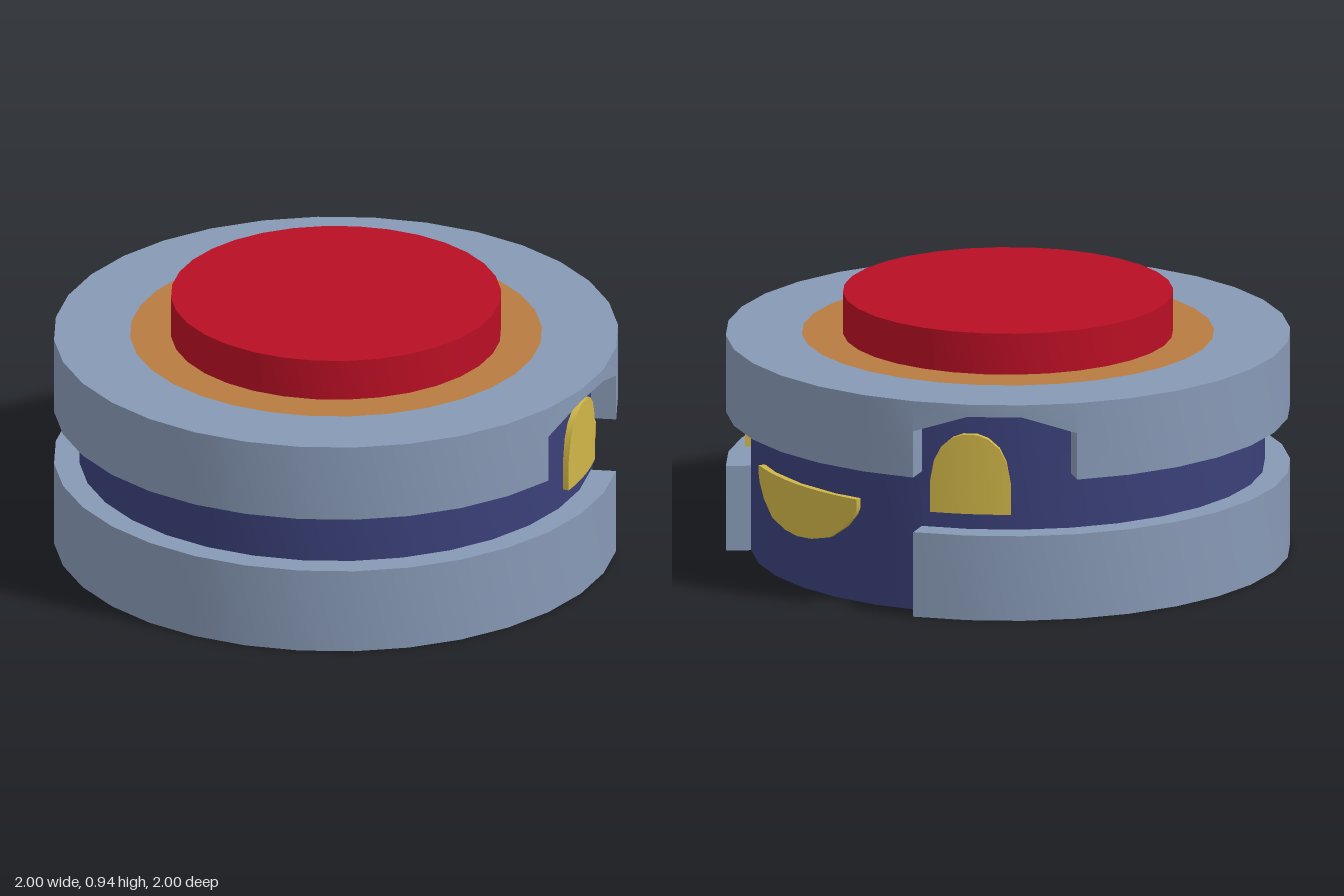
import * as THREE from 'three';
import { toCreasedNormals } from 'three/addons/utils/BufferGeometryUtils.js';

const STEP = Math.PI / 16; // 32-sided body
const R = 1, RI = 0.91;    // outer shell and recessed core radii
const FLOOR = 0.31, EAVE = 0.51, TOP = 0.79, CAP = 0.94;

function mat(name, color) {
  const m = new THREE.MeshStandardMaterial({ color, side: THREE.DoubleSide });
  m.name = name;
  return m;
}

// Point at radius r, angle in steps from +x towards +z, height y
const P = (r, i, y) => [r * Math.cos(i * STEP), y, r * Math.sin(i * STEP)];

const quad = (out, a, b, c, d) => out.push(...a, ...b, ...c, ...a, ...c, ...d);

// Band of quads between two profiles, each giving [radius, height] at a step
function strip(out, from, to, A, B) {
  for (let i = from; i < to; i++) {
    quad(out, P(A(i)[0], i, A(i)[1]), P(B(i)[0], i, B(i)[1]),
      P(B(i + 1)[0], i + 1, B(i + 1)[1]), P(A(i + 1)[0], i + 1, A(i + 1)[1]));
  }
}
const at = (r, y) => () => [r, y];

// Radial end face between core and shell
const endFace = (out, i, y0, y1) =>
  quad(out, P(RI, i, y0), P(R, i, y0), P(R, i, y1), P(RI, i, y1));

// Arched upper edge of the eye sockets, steps 3 to 6 on both sides
const lip = (i) => (Math.abs(i) === 3 || Math.abs(i) === 6 ? 0.68 : 0.745);
const onLip = (r) => (i) => [r, lip(i)];
const SOCKETS = [[3, 6], [-6, -3]];

function mesh(name, positions, material) {
  const g = new THREE.BufferGeometry();
  g.setAttribute('position', new THREE.Float32BufferAttribute(positions, 3));
  const m = new THREE.Mesh(toCreasedNormals(g, 0.4), material);
  m.name = name;
  return m;
}

// Curved plate hugging the core; columns are [offset along arc, bottom, top]
function plate(name, centre, columns, material) {
  const out = [], r0 = 0.905, r1 = 0.93;
  const cols = columns.map(([s, y0, y1]) => [centre + Math.asin(s / r1) / STEP, y0, y1]);
  for (let k = 0; k < cols.length - 1; k++) {
    const [a, a0, a1] = cols[k], [b, b0, b1] = cols[k + 1];
    quad(out, P(r1, a, a0), P(r1, a, a1), P(r1, b, b1), P(r1, b, b0));
    quad(out, P(r1, a, a1), P(r0, a, a1), P(r0, b, b1), P(r1, b, b1));
    quad(out, P(r0, a, a0), P(r1, a, a0), P(r1, b, b0), P(r0, b, b0));
  }
  const [a, a0, a1] = cols[0], [b, b0, b1] = cols[cols.length - 1];
  quad(out, P(r0, a, a0), P(r0, a, a1), P(r1, a, a1), P(r1, a, a0));
  quad(out, P(r1, b, b0), P(r1, b, b1), P(r0, b, b1), P(r0, b, b0));
  return mesh(name, out, material);
}

// Symmetric column list from its outer half plus a middle
const mirrored = (half) => [
  ...half.map(([s, a, b]) => [-s, a, b]),
  ...half.filter(([s]) => s > 0).reverse(),
];

export function createModel() {
  const grey = mat('blue grey metal', 0x8799b5);
  const navy = mat('navy core', 0x3a4079);
  const red = mat('button red', 0xb90f24);
  const orange = mat('copper orange', 0xb87b40);
  const gold = mat('gold', 0xd0b648);
  const model = new THREE.Group();
  model.name = 'buttonFace';

  // Upper housing with two arched eye sockets
  const upper = [];
  strip(upper, 0, 32, at(R, TOP), at(0.73, TOP));
  for (const [from, to] of [[-3, 3], [6, 26]]) {
    strip(upper, from, to, at(R, EAVE), at(R, TOP));
    strip(upper, from, to, at(RI, EAVE), at(R, EAVE));
  }
  for (const [from, to] of SOCKETS) {
    strip(upper, from, to, onLip(R), at(R, TOP));
    strip(upper, from, to, onLip(RI), onLip(R));
    endFace(upper, from, EAVE, 0.68);
    endFace(upper, to, EAVE, 0.68);
  }
  model.add(mesh('upperHousing', upper, grey));

  // Lower ring, open around the mouth
  const lower = [];
  strip(lower, 3, 29, at(R, 0), at(R, FLOOR));
  strip(lower, 3, 29, at(R, FLOOR), at(RI, FLOOR));
  endFace(lower, 3, 0, FLOOR);
  endFace(lower, 29, 0, FLOOR);
  model.add(mesh('lowerRing', lower, grey));

  // Recessed core: groove, mouth area and socket backs
  const core = [];
  strip(core, 3, 29, at(RI, FLOOR), at(RI, EAVE));
  strip(core, -3, 3, at(RI, 0), at(RI, EAVE));
  for (const [from, to] of SOCKETS) strip(core, from, to, at(RI, EAVE), onLip(RI));
  model.add(mesh('core', core, navy));

  // Inlay and push button
  const inlay = [];
  strip(inlay, 0, 32, at(0.73, TOP), at(0.585, TOP));
  model.add(mesh('inlayRing', inlay, orange));
  const button = [];
  strip(button, 0, 32, at(0.585, TOP), at(0.585, CAP));
  strip(button, 0, 32, at(0.585, CAP), at(0, CAP));
  model.add(mesh('button', button, red));

  // Eyes and mouth
  const eye = mirrored([
    [0.145, 0.37, 0.48], [0.13, 0.37, 0.56], [0.105, 0.37, 0.61],
    [0.065, 0.37, 0.645], [0.025, 0.37, 0.66], [0, 0.37, 0.66],
  ]);
  model.add(plate('leftEye', 4, eye, gold), plate('rightEye', -4, eye, gold));
  const mouth = mirrored([
    [0.29, 0.345, 0.38], [0.28, 0.32, 0.38], [0.24, 0.27, 0.38],
    [0.17, 0.22, 0.38], [0.08, 0.197, 0.38], [0, 0.19, 0.38],
  ]);
  model.add(plate('mouth', 0, mouth, gold));
  return model;
}
